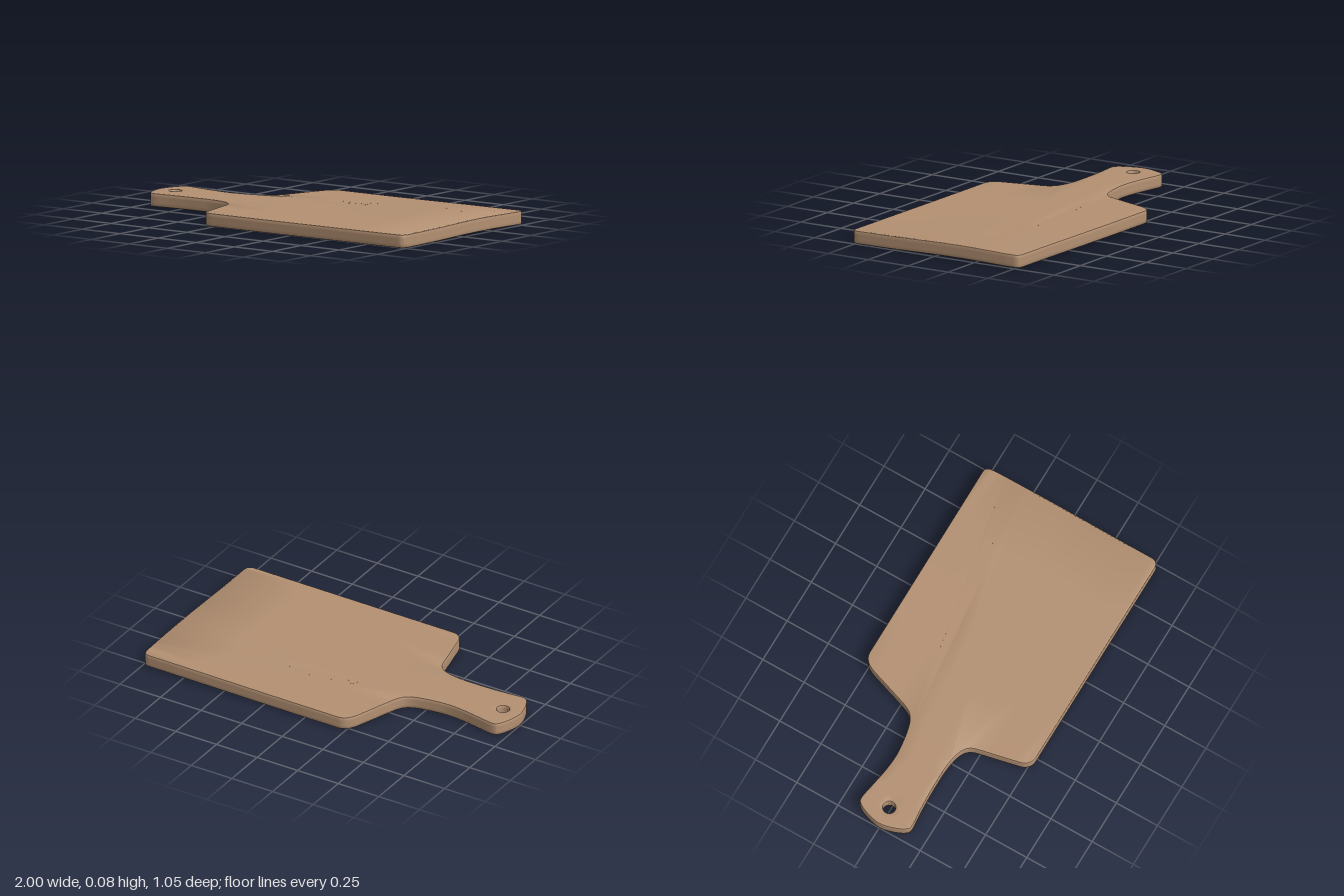
import * as THREE from 'three';
import { toCreasedNormals } from 'three/addons/utils/BufferGeometryUtils.js';

const THICKNESS = 0.07;
const BEVEL = 0.006;

// Outline seen from above: x to the right, shape y is the model's z
function boardShape() {
  const v = (list) => list.map(([x, z]) => new THREE.Vector2(x, z));
  const s = new THREE.Shape();
  // back edge, square end and front edge
  s.moveTo(-0.2, -0.527);
  s.lineTo(0.96, -0.527);
  s.quadraticCurveTo(0.998, -0.527, 0.998, -0.485);
  for (let i = 1; i <= 24; i++) s.lineTo(1, -0.485 + (0.965 * i) / 24);
  s.quadraticCurveTo(0.998, 0.522, 0.96, 0.522);
  s.lineTo(-0.26, 0.522);
  // front shoulder and neck
  s.quadraticCurveTo(-0.325, 0.522, -0.337, 0.45);
  s.lineTo(-0.383, 0.24);
  s.bezierCurveTo(-0.397, 0.175, -0.43, 0.148, -0.58, 0.141);
  // handle: front side, rounded tip, back side
  s.splineThru(v([[-0.7, 0.142], [-0.82, 0.148], [-0.92, 0.156], [-0.955, 0.138],
    [-0.985, 0.075], [-1, 0], [-0.985, -0.075], [-0.955, -0.138], [-0.92, -0.154],
    [-0.82, -0.138], [-0.72, -0.122], [-0.62, -0.116], [-0.52, -0.127]]));
  // back neck and shoulder
  s.bezierCurveTo(-0.4, -0.148, -0.386, -0.168, -0.36, -0.23);
  s.lineTo(-0.285, -0.45);
  s.quadraticCurveTo(-0.258, -0.527, -0.2, -0.527);
  // hanging hole
  const hole = new THREE.Path();
  hole.absarc(-0.895, 0, 0.034, 0, Math.PI * 2, true);
  s.holes.push(hole);
  return s;
}

// Splits every triangle into four so that the flat faces can bend
function subdivide(geometry) {
  const p = geometry.attributes.position;
  const out = [];
  const at = (i) => new THREE.Vector3().fromBufferAttribute(p, i);
  const mid = (a, b) => a.clone().add(b).multiplyScalar(0.5);
  for (let i = 0; i < p.count; i += 3) {
    const [a, b, c] = [at(i), at(i + 1), at(i + 2)];
    const [ab, bc, ca] = [mid(a, b), mid(b, c), mid(c, a)];
    for (const q of [a, ab, ca, ab, b, bc, ca, bc, c, ab, bc, ca]) out.push(q.x, q.y, q.z);
  }
  const result = new THREE.BufferGeometry();
  result.setAttribute('position', new THREE.Float32BufferAttribute(out, 3));
  return result;
}

// Gentle rise of the wood towards the square end
function warp(geometry) {
  const p = geometry.attributes.position;
  for (let i = 0; i < p.count; i++) {
    const rise = THREE.MathUtils.smoothstep(p.getX(i), 0, 1);
    const bump = Math.exp(-(((p.getZ(i) + 0.14) / 0.32) ** 2));
    p.setY(i, p.getY(i) + rise * (0.002 + 0.009 * bump));
  }
}

export function createModel() {
  const wood = new THREE.MeshStandardMaterial({ color: 0xb39072 });
  wood.name = 'wood';

  let geometry = new THREE.ExtrudeGeometry(boardShape(), {
    depth: THICKNESS - 2 * BEVEL,
    bevelEnabled: true,
    bevelThickness: BEVEL,
    bevelSize: BEVEL,
    bevelOffset: -BEVEL,
    bevelSegments: 2,
    curveSegments: 10,
  });
  geometry.rotateX(Math.PI / 2);
  geometry.translate(0, THICKNESS - BEVEL, 0);
  for (let i = 0; i < 2; i++) geometry = subdivide(geometry);
  warp(geometry);

  const board = new THREE.Mesh(toCreasedNormals(geometry, 0.6), wood);
  board.name = 'cuttingBoard';
  const group = new THREE.Group();
  group.name = 'choppingBoard';
  group.add(board);
  return group;
}
